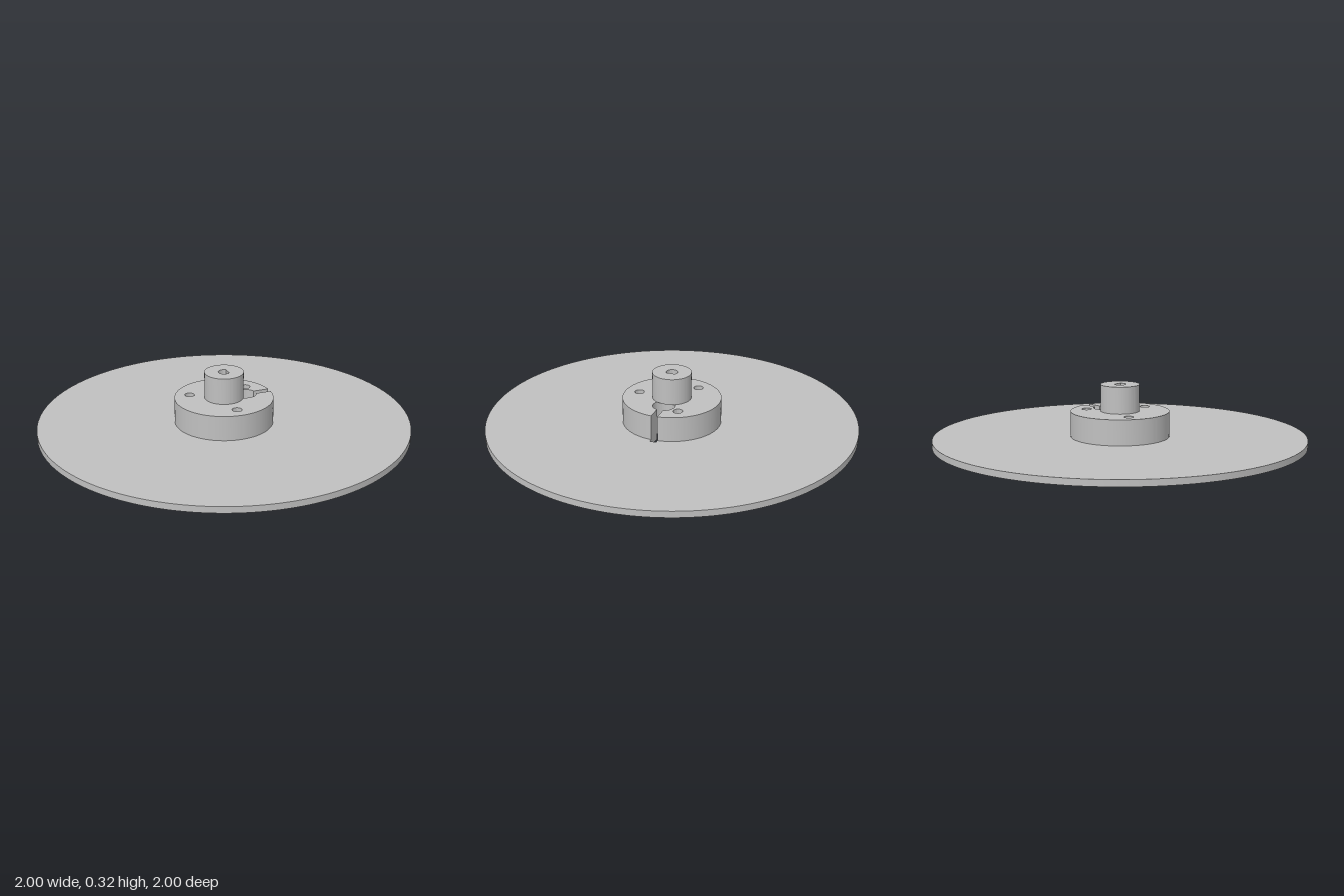
import * as THREE from 'three';
import { toCreasedNormals } from 'three/addons/utils/BufferGeometryUtils.js';

const TAU = Math.PI * 2;
const DISC_TOP = 0.035, HUB_TOP = 0.172, BOSS_TOP = 0.316;
const HUB_R = 0.265, BOSS_R = 0.105;
const KEY_X = 0.123, KEY_R = 0.059, SLOT_HALF = 0.017, SLOT_END = 0.285;

const circle = (Type, x, y, r) => new Type().absarc(x, y, r, 0, TAU, false);

export function createModel() {
  const metal = new THREE.MeshStandardMaterial({ color: 0xc0c0c0 });
  metal.name = 'grey metal';
  const model = new THREE.Group();
  model.name = 'flangedDisc';

  // Extrudes a plan outline upward between two heights
  function addLayer(name, shape, bottom, top) {
    const solid = new THREE.ExtrudeGeometry(shape, {
      depth: top - bottom, bevelEnabled: false, curveSegments: 96,
    });
    solid.rotateX(-Math.PI / 2);
    solid.translate(0, bottom, 0);
    const mesh = new THREE.Mesh(toCreasedNormals(solid, 0.5), metal);
    mesh.name = name;
    model.add(mesh);
  }

  // Wide disc with a keyhole through it
  const keyAngle = Math.asin(SLOT_HALF / KEY_R);
  const keyhole = new THREE.Path();
  keyhole.absarc(KEY_X, 0, KEY_R, keyAngle, TAU - keyAngle, false);
  keyhole.lineTo(SLOT_END, -SLOT_HALF);
  keyhole.lineTo(SLOT_END, SLOT_HALF);
  keyhole.closePath();
  const disc = circle(THREE.Shape, 0, 0, 1);
  disc.holes.push(keyhole);
  addLayer('disc', disc, 0, DISC_TOP);

  // Hub, split by the slot on its left side, with three blind screw holes
  const rimAngle = Math.asin(SLOT_HALF / HUB_R);
  const hub = new THREE.Shape();
  hub.absarc(0, 0, HUB_R, rimAngle, TAU - rimAngle, false);
  hub.absarc(KEY_X, 0, KEY_R, TAU - keyAngle, keyAngle, true);
  hub.closePath();
  for (let i = 0; i < 3; i++) {
    const a = Math.PI / 6 + (i * TAU) / 3;
    hub.holes.push(circle(THREE.Path, 0.187 * Math.cos(a), 0.187 * Math.sin(a), 0.026));
  }
  addLayer('hub', hub, DISC_TOP, HUB_TOP);

  // Central boss with a D-shaped shaft bore
  const flatAngle = Math.acos(0.021 / 0.031);
  const bore = new THREE.Path();
  bore.absarc(0, 0, 0.031, flatAngle, TAU - flatAngle, false);
  bore.closePath();
  const boss = circle(THREE.Shape, 0, 0, BOSS_R);
  boss.holes.push(bore);
  addLayer('boss', boss, HUB_TOP, BOSS_TOP);

  return model;
}
